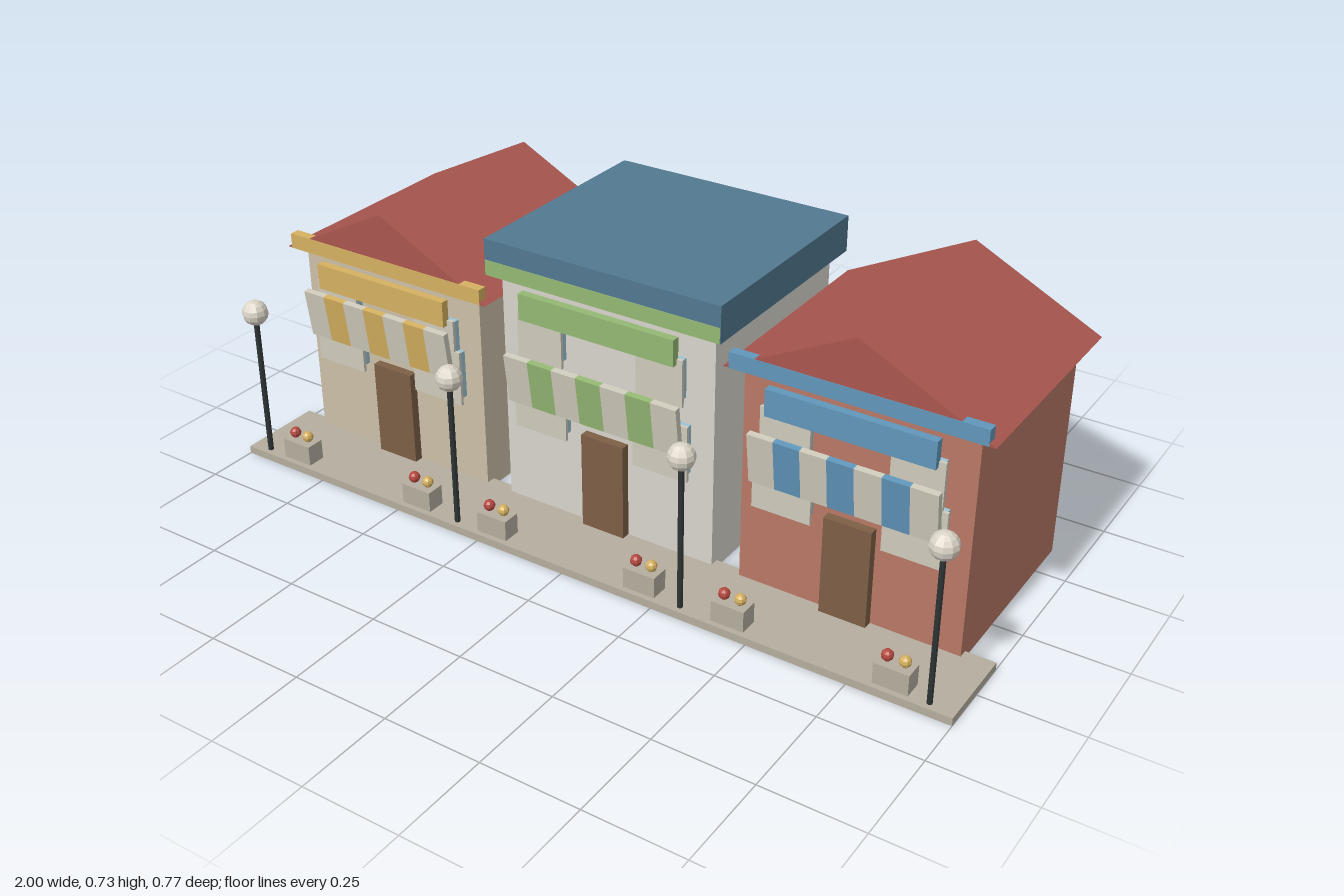
import * as THREE from 'three';

const mats = {};
const mat = (color) => (mats[color] ??= new THREE.MeshStandardMaterial({ color, flatShading: true }));

const CREAM = 0xcfcabb, GLASS = 0x9cc3d3, STONE = 0xb5ae9f, DOOR = 0x7d5f45;
const RED_ROOF = 0xa9564f, FLAT_ROOF = 0x527890, IRON = 0x2d3333;

function add(parent, name, geometry, color, x, y, z) {
  const mesh = new THREE.Mesh(geometry, mat(color));
  mesh.name = name;
  mesh.position.set(x, y, z);
  parent.add(mesh);
  return mesh;
}

// Box given by centre x, width, and its y and z ranges
function box(parent, name, color, x, w, y0, y1, z0, z1) {
  return add(parent, name, new THREE.BoxGeometry(w, y1 - y0, z1 - z0), color, x, (y0 + y1) / 2, (z0 + z1) / 2);
}

// Window: pane set against the wall with a plain panel in front
function shopWindow(parent, name, x, w, y0, y1) {
  box(parent, name + 'Glass', GLASS, x, w - 0.02, y0 + 0.01, y1 - 0.01, 0.17, 0.197);
  box(parent, name + 'Frame', CREAM, x, w, y0, y1, 0.197, 0.205);
}

// Striped awning board, leaning outward at the top
function awning(parent, w, color) {
  const group = new THREE.Group();
  group.name = 'awning';
  group.position.set(0, 0.392, 0.233);
  group.rotation.x = 0.127;
  const s = w / 7;
  for (let i = 0; i < 7; i++) {
    box(group, 'awningStripe', i % 2 ? color : CREAM, (i - 3) * s, s, -0.064, 0.064, -0.008, 0.008);
  }
  parent.add(group);
}

function planter(parent, x) {
  const group = new THREE.Group();
  group.name = 'planter';
  group.position.x = x;
  box(group, 'planterBox', STONE, 0, 0.085, 0.02, 0.073, 0.31, 0.358);
  const ball = new THREE.SphereGeometry(0.0145, 8, 6);
  add(group, 'redFlower', ball, 0xb5483f, -0.021, 0.088, 0.335);
  add(group, 'yellowFlower', ball, 0xd4b060, 0.021, 0.088, 0.335);
  parent.add(group);
}

function gableRoof(parent, w, h) {
  const shape = new THREE.Shape();
  shape.moveTo(-w / 2, 0);
  shape.lineTo(w / 2, 0);
  shape.lineTo(0, 0.16);
  shape.closePath();
  const geometry = new THREE.ExtrudeGeometry(shape, { depth: 0.583, bevelEnabled: false });
  add(parent, 'gableRoof', geometry, RED_ROOF, 0, h, -0.384);
}

function shop({ name, x, w, h, wall, accent, gable }) {
  const group = new THREE.Group();
  group.name = name;
  group.position.x = x;
  box(group, 'walls', wall, 0, w, 0, h, -0.353, 0.171);

  // Roof and cornice
  if (gable) gableRoof(group, w * 1.145, h);
  else box(group, 'flatRoof', FLAT_ROOF, 0, w * 1.095, h, h + 0.092, -0.384, 0.199);
  box(group, 'cornice', accent, 0, w * 1.09, h, h + 0.039, 0.175, 0.2005);

  // Shop front
  box(group, 'signBoard', accent, 0, w * 0.725, h - 0.08, h - 0.013, 0.198, 0.219);
  box(group, 'door', DOOR, 0, 0.118, 0.02, 0.271, 0.171, 0.194);
  awning(group, w * 0.815, accent);
  for (const side of [-1, 1]) {
    shopWindow(group, 'lowerWindow', side * w * 0.287, 0.148, 0.245, 0.39);
    shopWindow(group, 'upperWindow', side * w * 0.282, 0.125, h - 0.186, h - 0.066);
    planter(group, side * w * 0.36);
  }
  return group;
}

function streetLamp(x) {
  const group = new THREE.Group();
  group.name = 'streetLamp';
  group.position.set(x, 0, 0.352);
  add(group, 'lampPost', new THREE.CylinderGeometry(0.007, 0.007, 0.38, 8), IRON, 0, 0.21, 0);
  add(group, 'lampGlobe', new THREE.SphereGeometry(0.033, 10, 8), 0xdcd5c8, 0, 0.417, 0);
  return group;
}

export function createModel() {
  const model = new THREE.Group();
  model.name = 'shopRow';
  box(model, 'pavement', STONE, 0, 2, 0, 0.02, 0.148, 0.372);

  const shops = [
    { name: 'leftmostShop', x: -0.646, w: 0.55, h: 0.537, wall: 0xcbbfa8, accent: 0xd4b060, gable: true },
    { name: 'middleShop', x: -0.003, w: 0.588, h: 0.623, wall: 0xd8d5cc, accent: 0x93b873, gable: false },
    { name: 'rightmostShop', x: 0.646, w: 0.56, h: 0.573, wall: 0xb87866, accent: 0x6096ba, gable: true },
  ];
  for (const s of shops) model.add(shop(s));
  for (const x of [-0.944, -0.324, 0.318, 0.938]) model.add(streetLamp(x));
  return model;
}
